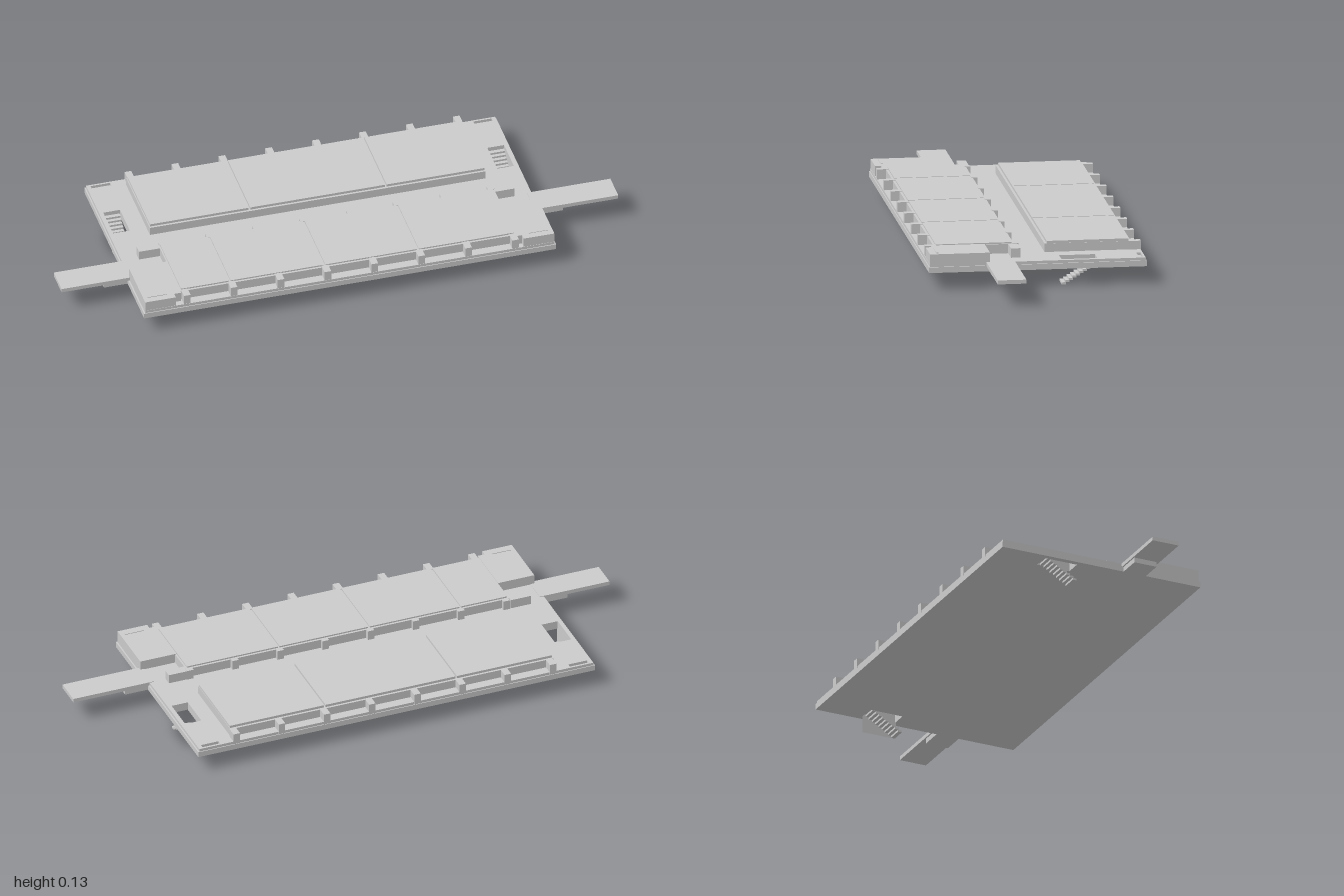
import * as THREE from 'three';

const mat = new THREE.MeshStandardMaterial({ color: 0xcccccc, flatShading: true });
const CX = -0.02; // centre line of the deck

export function createModel() {
  const root = new THREE.Group();

  const add = (name, geo, parent = root) => {
    const m = new THREE.Mesh(geo, mat);
    m.name = name;
    parent.add(m);
    return m;
  };
  // Box given by its limits on each axis
  const box = (name, x0, x1, y0, y1, z0, z1, parent = root) => {
    const m = add(name, new THREE.BoxGeometry(x1 - x0, y1 - y0, z1 - z0), parent);
    m.position.set((x0 + x1) / 2, (y0 + y1) / 2, (z0 + z1) / 2);
    return m;
  };
  // Box beside the centre line, s = -1 or 1, with distances a..b from it
  const sideBox = (name, s, a, b, y0, y1, z0, z1, parent) =>
    box(name, Math.min(CX + s * a, CX + s * b), Math.max(CX + s * a, CX + s * b), y0, y1, z0, z1, parent);
  const rect = (C, x0, x1, z0, z1) => {
    const p = new C();
    p.moveTo(x0, z0); p.lineTo(x1, z0); p.lineTo(x1, z1); p.lineTo(x0, z1); p.closePath();
    return p;
  };
  // Horizontal plate with rectangular openings
  const plate = (name, x0, x1, z0, z1, y0, y1, holes) => {
    const shape = rect(THREE.Shape, x0, x1, z0, z1);
    for (const h of holes) shape.holes.push(rect(THREE.Path, ...h));
    const g = new THREE.ExtrudeGeometry(shape, { depth: y1 - y0, bevelEnabled: false });
    g.rotateX(Math.PI / 2);
    add(name, g).position.y = y1;
  };

  // Base slab and deck, open above the stairs; the deck also has corner slots
  const stairHoles = [[-0.74, -0.68, -0.21, -0.085], [0.64, 0.70, -0.21, -0.085]];
  const slots = [[-0.74, -0.67, -0.37, -0.355], [0.635, 0.70, -0.37, -0.355]];
  plate('baseSlab', -0.76, 0.72, -0.38, 0.38, 0.06, 0.08, stairHoles);
  plate('deck', -0.755, 0.715, -0.377, 0.377, 0.08, 0.09, [...stairHoles, ...slots]);

  // Two raised hatch rows with cover panels separated by narrow grooves
  const hatchRow = (name, z0, z1, top, cover, cuts) => {
    const g = new THREE.Group();
    g.name = name;
    root.add(g);
    box('hatchCoaming', -0.62, 0.585, 0.09, top, z0, z1, g);
    for (let i = 0; i + 1 < cuts.length; i++)
      box('hatchCover', cuts[i] + 0.003, cuts[i + 1] - 0.003, top, cover, z0 + 0.008, z1 - 0.008, g);
  };
  hatchRow('backHatches', -0.343, -0.042, 0.12, 0.129, [-0.62, -0.26, 0.23, 0.587]);
  hatchRow('frontHatches', 0.065, 0.345, 0.123, 0.128, [-0.618, -0.44, -0.1, 0.236, 0.582]);

  // Evenly spaced posts along the hatch rows
  for (let i = 0; i < 8; i++) {
    const x = -0.604 + i * 0.1685;
    box('backPost', x - 0.012, x + 0.012, 0.08, 0.12, -0.378, -0.34);
    box('frontPost', x - 0.012, x + 0.012, 0.08, 0.125, 0.335, 0.376);
    box('innerPost', x - 0.012, x + 0.012, 0.09, 0.125, 0.05, 0.07);
  }

  for (const s of [-1, 1]) {
    // Corner house with a notch towards the hatches and a slim top strip
    sideBox('cornerHouse', s, 0.625, 0.735, 0.08, 0.125, 0.167, 0.376);
    sideBox('cornerHouseLink', s, 0.60, 0.625, 0.08, 0.125, 0.167, 0.355);
    sideBox('cornerStrip', s, 0.65, 0.72, 0.125, 0.127, 0.345, 0.352);

    // Low block beside the passage
    sideBox('passageBlock', s, 0.60, 0.675, 0.09, 0.123, 0.052, 0.085);

    // Gangway with its bracket under the inner end
    sideBox('gangway', s, 0.72, 1 - s * CX, 0.078, 0.092, 0.08, 0.18);
    sideBox('gangwayBracket', s, 0.73, 0.825, 0.06, 0.078, 0.085, 0.17);

    // Hanging stairs, lowest step towards the front
    const stairs = new THREE.Group();
    stairs.name = 'stairs';
    root.add(stairs);
    const n = 10;
    for (let i = 0; i < n; i++) {
      const z = -0.086 - i * 0.0122, y = i * 0.0075;
      sideBox('step', s, 0.662, 0.719, y, y + 0.0075, z - 0.0145, z, stairs);
    }
    // Thin outer stair wall, seen from the inner side only
    const wall = add('stairWall', new THREE.PlaneGeometry(0.13, 0.075), stairs);
    wall.rotation.y = -s * Math.PI / 2;
    wall.position.set(CX + s * 0.72, 0.0375, -0.145);
  }
  return root;
}
